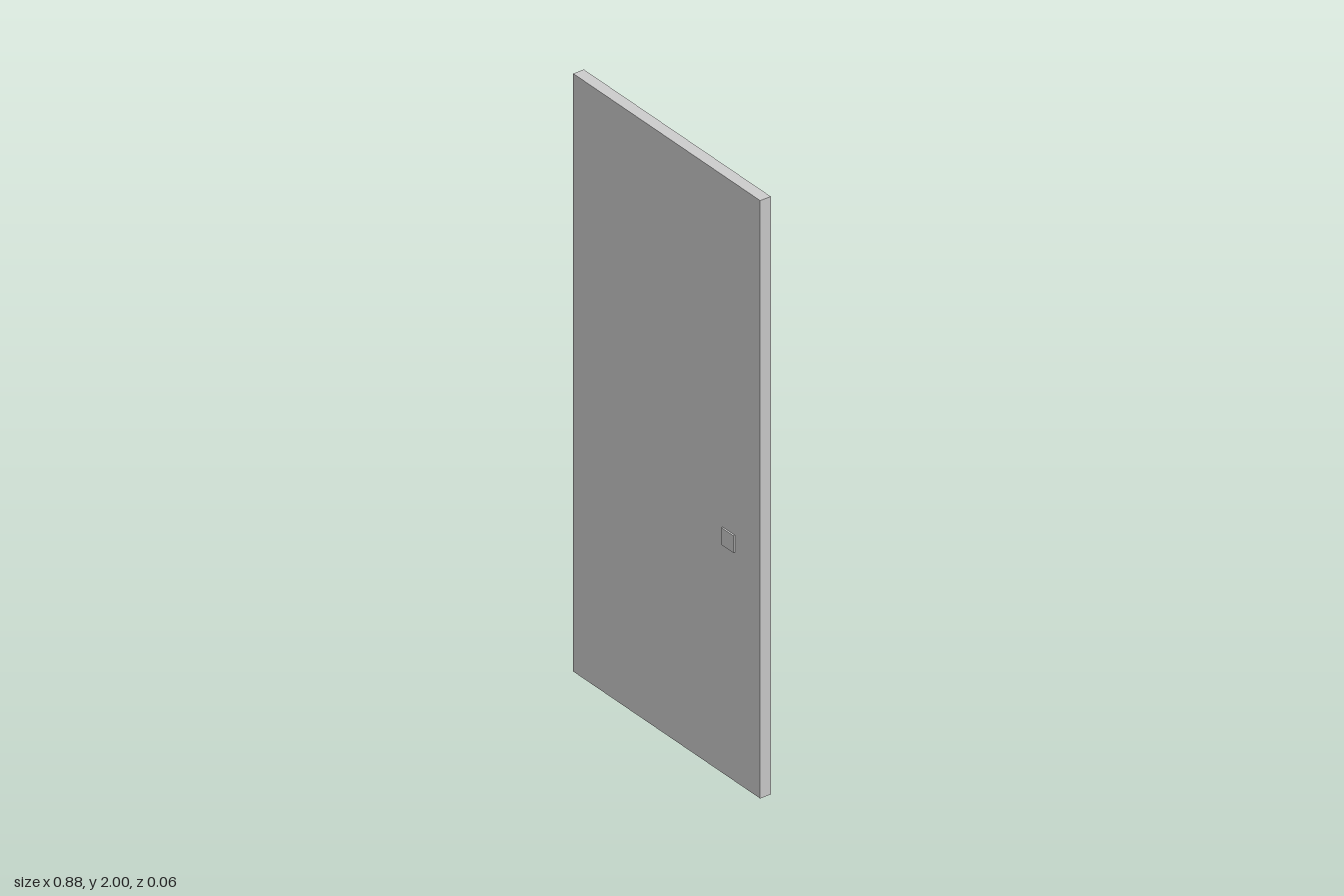
import * as THREE from 'three';

export function createModel() {
  const group = new THREE.Group();
  const material = new THREE.MeshStandardMaterial({ color: 0xcccccc, flatShading: true });

  const add = (name, geometry, x, y, z) => {
    const mesh = new THREE.Mesh(geometry, material);
    mesh.name = name;
    mesh.position.set(x, y, z);
    group.add(mesh);
  };

  // Door slab
  const thickness = 0.038, slabZ = 0.0045;
  add('doorPanel', new THREE.BoxGeometry(0.884, 2, thickness), 0, 1, slabZ);

  // Square handle plates on both faces
  const plateDepth = 0.0055;
  const plate = new THREE.BoxGeometry(0.057, 0.057, plateDepth);
  for (const [name, side] of [['frontHandlePlate', 1], ['backHandlePlate', -1]]) {
    add(name, plate, 0.294, 0.795, slabZ + side * (thickness + plateDepth) / 2);
  }

  // Hinge barrels along the back edge
  const barrel = new THREE.CylinderGeometry(0.008, 0.008, 0.086, 12);
  add('upperHinge', barrel, -0.434, 1.768, -0.0222);
  add('lowerHinge', barrel, -0.434, 0.243, -0.0222);

  return group;
}
